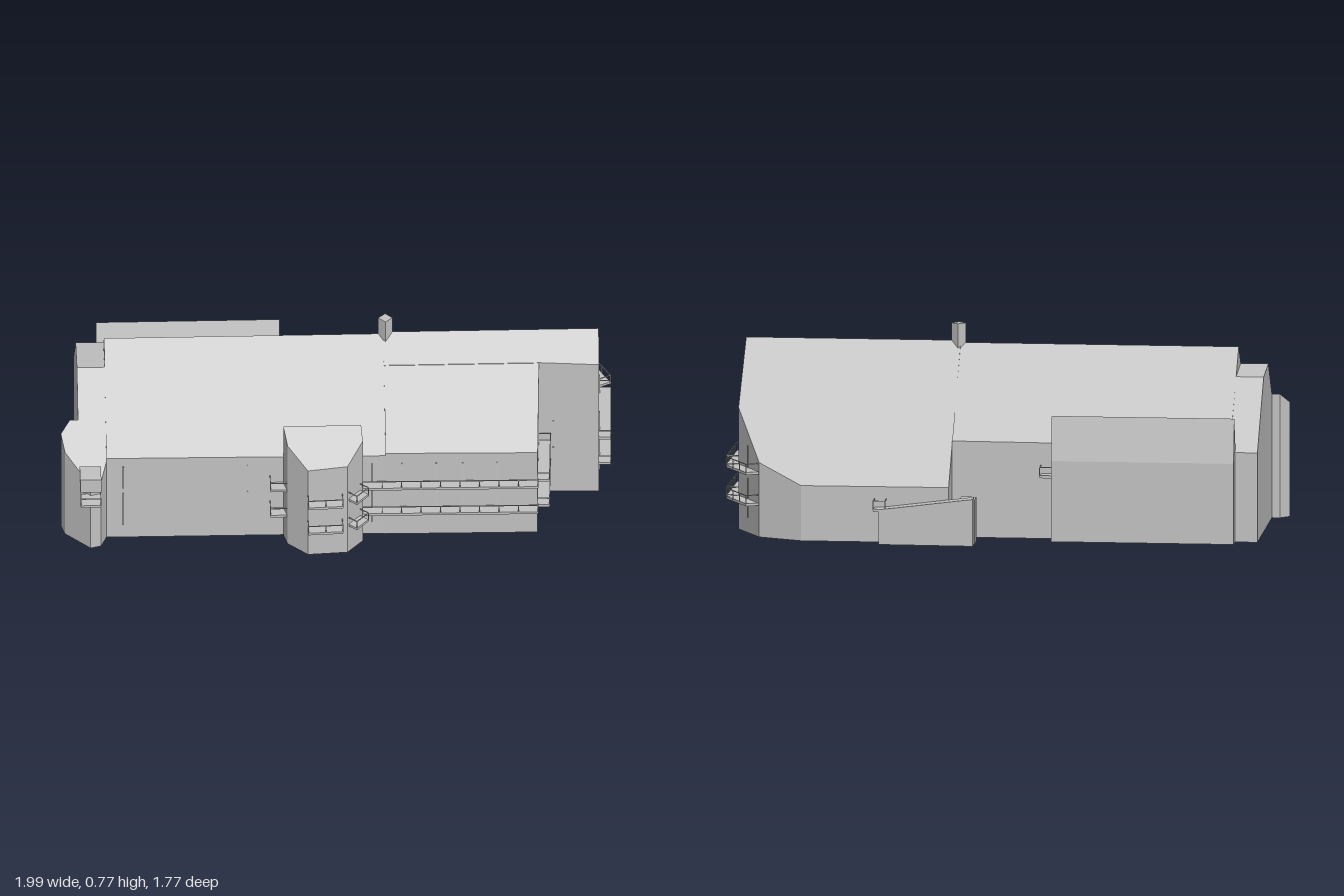
import * as THREE from 'three';

const plaster = new THREE.MeshStandardMaterial({ color: 0xc2c2c2, side: THREE.DoubleSide, flatShading: true });
plaster.name = 'light grey';

// Roof planes of the blocks
const RIDGE = 0.03, BACK = -0.82, PARTY = 0.238, STEP = 0.12;
const frontRoof = (x, z) => 0.7 - 1.01 * Math.abs(z - RIDGE);
const backRoof = (x, z) => 0.692 - 0.95 * Math.abs(z - RIDGE);
const wingRoof = (x, z) => 0.607 - 0.89 * (z - STEP);
const bayRoof = (x, z) => 0.405 + 0.95 * (0.487 - z);

function add(parent, name, geometry, x = 0, y = 0, z = 0) {
  const mesh = new THREE.Mesh(geometry, plaster);
  mesh.name = name;
  mesh.position.set(x, y, z);
  parent.add(mesh);
  return mesh;
}

// Walls and roof over a footprint of [x, z] points, open below.
// Edges lying on a seam (a constant z) get no wall.
function block(footprint, height, seams = []) {
  let pts = footprint.map(([x, z]) => new THREE.Vector2(x, z));
  if (!THREE.ShapeUtils.isClockWise(pts)) pts = pts.reverse();
  const pos = [];
  const low = (p) => [p.x, 0, p.y];
  const high = (p) => [p.x, height(p.x, p.y), p.y];
  pts.forEach((a, i) => {
    const b = pts[(i + 1) % pts.length];
    if (a.y === b.y && seams.includes(a.y)) return;
    pos.push(...low(a), ...low(b), ...high(b), ...low(a), ...high(b), ...high(a));
  });
  for (const face of THREE.ShapeUtils.triangulateShape(pts, [])) {
    let [a, b, c] = face.map((i) => pts[i]);
    if (b.clone().sub(a).cross(c.clone().sub(a)) > 0) [b, c] = [c, b];
    pos.push(...high(a), ...high(b), ...high(c));
  }
  const g = new THREE.BufferGeometry();
  g.setAttribute('position', new THREE.Float32BufferAttribute(pos, 3));
  g.computeVertexNormals();
  return g;
}

// Cross-section of [-z, y] points run along x
function runSection(points, x0, x1) {
  const shape = new THREE.Shape(points.map(([a, b]) => new THREE.Vector2(a, b)));
  const g = new THREE.ExtrudeGeometry(shape, { depth: x1 - x0, bevelEnabled: false });
  return g.rotateY(Math.PI / 2).translate(x0, 0, 0);
}

// Slab with a slim railing along the wall line a to b
function balcony(parent, a, b, depth, y) {
  const dx = b[0] - a[0], dz = b[1] - a[1], length = Math.hypot(dx, dz);
  const group = new THREE.Group();
  group.name = 'balcony';
  group.position.set((a[0] + b[0]) / 2, y, (a[1] + b[1]) / 2);
  group.rotation.y = -Math.atan2(dz, dx);
  add(group, 'balconySlab', new THREE.BoxGeometry(length, 0.01, depth), 0, 0, depth / 2);
  add(group, 'handrail', new THREE.BoxGeometry(length, 0.003, 0.003), 0, 0.036, depth);
  for (const side of [-1, 1]) {
    add(group, 'sideRail', new THREE.BoxGeometry(0.003, 0.003, depth), side * length / 2, 0.036, depth / 2);
  }
  const count = Math.max(1, Math.round(length / 0.07));
  for (let i = 0; i <= count; i++) {
    add(group, 'railPost', new THREE.BoxGeometry(0.003, 0.036, 0.003), length * (i / count - 0.5), 0.018, depth);
  }
  parent.add(group);
}

export function createModel() {
  const model = new THREE.Group();
  model.name = 'apartmentHouse';
  const house = new THREE.Group();
  house.name = 'house';
  house.rotation.y = -THREE.MathUtils.degToRad(45.6);
  model.add(house);

  // Long rear block, one half on each side of the ridge
  add(house, 'rearBlockBackHalf', block(
    [[BACK, RIDGE], [BACK, -0.315], [PARTY, -0.31], [PARTY, RIDGE]], backRoof, [RIDGE]));
  add(house, 'rearBlockFrontHalf', block(
    [[BACK, RIDGE], [PARTY, RIDGE], [PARTY, 0.37], [BACK, 0.365]], backRoof, [RIDGE]));

  // Front block with its faceted end, and the side wing
  add(house, 'frontBlockBackHalf', block([
    [PARTY, RIDGE], [PARTY, -0.452], [0.8, -0.453], [0.966, -0.38], [1.062, -0.2], [1.055, RIDGE],
  ], frontRoof, [RIDGE]));
  add(house, 'frontBlockFrontHalf', block(
    [[PARTY, RIDGE], [1.055, RIDGE], [1.053, 0.128], [0.83, STEP], [PARTY, STEP]], frontRoof, [RIDGE]));
  add(house, 'sideWing', block(
    [[PARTY, STEP], [0.826, STEP], [0.814, 0.378], [PARTY, 0.373]], wingRoof, [STEP]));

  // Gable end with a clipped top, in three strips
  const bends = [-0.323, -0.075, 0.11, 0.33];
  for (let i = 0; i < 3; i++) {
    const [a, b] = [bends[i], bends[i + 1]];
    add(house, 'clippedGable', block(
      [[-0.925, a], [BACK, a], [BACK, b], [-0.925, b]],
      (x, z) => Math.min(0.615, frontRoof(x, z)), [-0.075, 0.11]));
  }

  // Raised wall along the back eave
  add(house, 'raisedBackWall', runSection([
    [0.3, 0], [0.383, 0], [0.383, 0.31], [0.352, 0.478], [0.31, 0.36],
  ], -0.84, -0.145));

  // Corner tower under the continued roof slope, with a hood
  add(house, 'cornerTower', block([
    [-0.977, 0.339], [-0.991, 0.289], [-0.956, 0.253], [-0.82, 0.253],
    [-0.82, 0.365], [-0.842, 0.42], [-0.882, 0.432],
  ], frontRoof));
  add(house, 'towerHood', new THREE.BoxGeometry(0.08, 0.06, 0.085), -0.883, 0.34, 0.45);

  // Projecting bay with a lean-to roof
  add(house, 'bay', block([
    [-0.15, 0.37], [-0.135, 0.425], [-0.06, 0.495], [0.09, 0.485], [0.15, 0.415], [0.145, 0.37],
  ], bayRoof));

  // Chimney
  add(house, 'chimney', new THREE.BoxGeometry(0.038, 0.12, 0.038).rotateY(Math.PI / 4), 0.246, 0.707, 0.03);

  // Sloped entrance wall at the back
  add(house, 'entranceWall', block([
    [0.14, -0.46], [0.14, -0.52], [0.5, -0.51], [0.5, -0.455],
  ], (x) => 0.18 - (x - 0.14) * 0.13));
  add(house, 'entranceReturn', new THREE.BoxGeometry(0.058, 0.17, 0.07), 0.166, 0.085, -0.43);

  // Balconies on both floors
  const lines = [
    [[0.15, 0.372], [0.814, 0.378], 0.045],
    [[0.814, 0.378], [0.824, 0.13], 0.045],
    [[1.053, 0.12], [1.062, -0.195], 0.045],
    [[1.062, -0.203], [0.97, -0.374], 0.05],
    [[-0.06, 0.493], [0.07, 0.487], 0.04],
    [[0.095, 0.48], [0.14, 0.427], 0.04],
    [[-0.2, 0.367], [-0.135, 0.367], 0.05],
  ];
  for (const [a, b, depth] of lines) {
    for (const y of [0.125, 0.245]) balcony(house, a, b, depth, y);
  }
  balcony(house, [-0.92, 0.42], [-0.845, 0.42], 0.075, 0.245);
  balcony(house, [-0.1, -0.313], [-0.145, -0.313], 0.05, 0.245);
  balcony(house, [0.52, -0.453], [0.475, -0.453], 0.055, 0.13);

  // Slim window fins: [x, z] on the walls, [y, length] for each floor
  const fins = [
    [-0.757, 0.368], [-0.286, 0.368], [0.186, 0.374], [0.3, 0.375], [0.43, 0.376], [0.53, 0.377],
    [0.66, 0.378], [0.88, 0.123], [1.056, 0.07], [1.063, -0.16], [1.017, -0.29],
  ];
  for (const [x, z] of fins) {
    for (const [y, length] of [[0.135, 0.15], [0.285, 0.1]]) {
      add(house, 'windowFin', new THREE.BoxGeometry(0.005, length, 0.005), x, y, z);
    }
  }
  return model;
}
